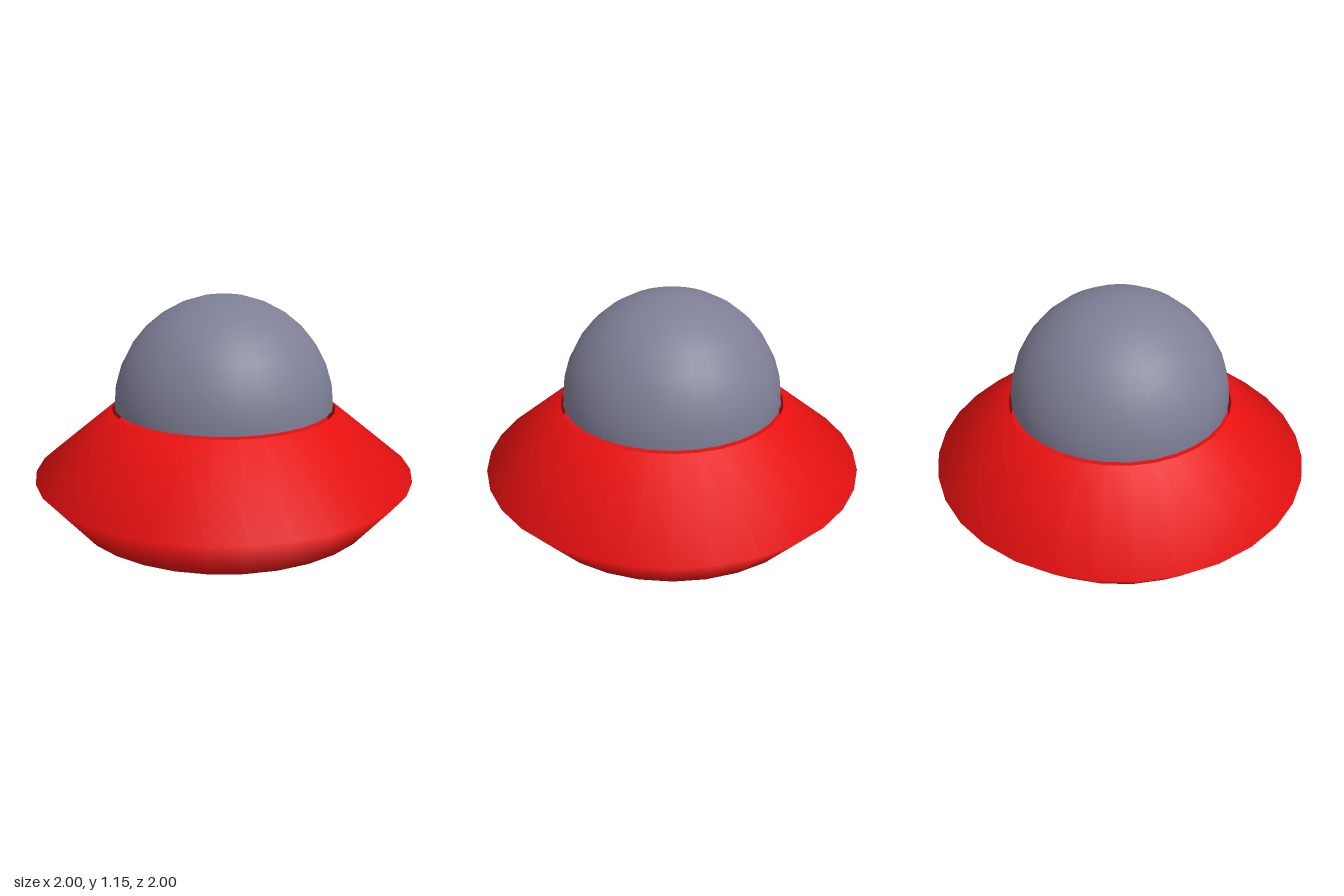
import * as THREE from 'three';

const SEGMENTS = 32;

export function createModel() {
  const model = new THREE.Group();
  model.name = 'flyingSaucer';

  const red = new THREE.MeshStandardMaterial({ color: 0xe81010 });
  red.name = 'hullRed';
  const grey = new THREE.MeshStandardMaterial({ color: 0x7e7e96 });
  grey.name = 'domeGrey';

  const addMesh = (name, geometry, material, y = 0) => {
    const mesh = new THREE.Mesh(geometry, material);
    mesh.name = name;
    mesh.position.y = y;
    model.add(mesh);
    return mesh;
  };

  // Saucer hull: closed base, flared rim, sloped top and a recess under the dome,
  // with normals blended smoothly across every edge
  const hullProfile = [
    [0, 0], [0.81, 0], [1, 0.23], [0.59, 0.565], [0.59, 0.45], [0, 0.45],
  ].map(([r, y]) => new THREE.Vector2(r, y));
  addMesh('hull', new THREE.LatheGeometry(hullProfile, SEGMENTS), red);

  // Dome: a hemisphere hovering just above the hull rim
  const domeRadius = 0.577;
  const domeBase = 0.575;
  addMesh('dome',
    new THREE.SphereGeometry(domeRadius, SEGMENTS, 8, 0, Math.PI * 2, 0, Math.PI / 2),
    grey, domeBase);

  // Flat underside closing the dome
  addMesh('domeFloor', new THREE.CircleGeometry(domeRadius, SEGMENTS), grey, domeBase)
    .rotation.x = Math.PI / 2;

  return model;
}
